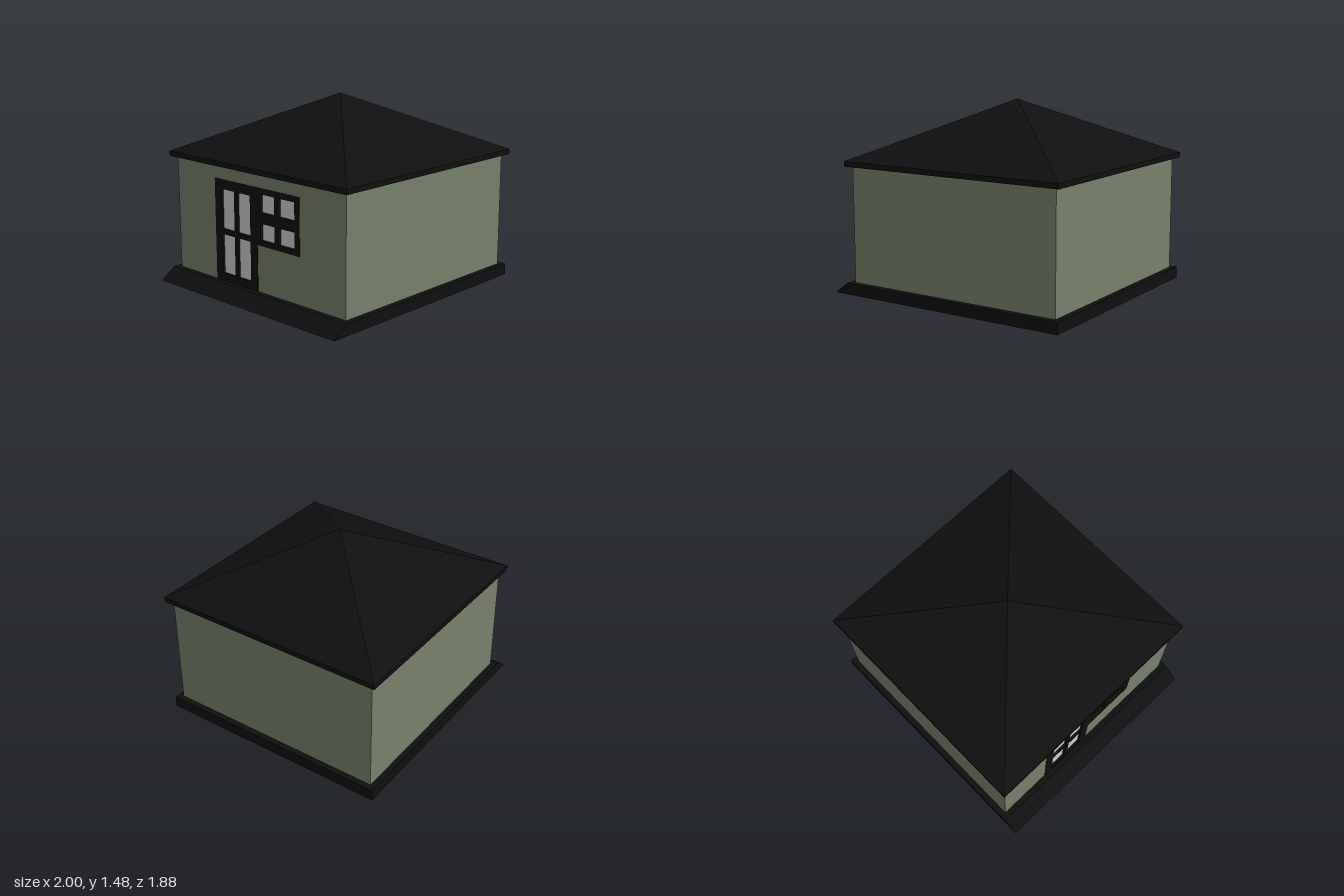
import * as THREE from 'three';

const mat = (color) => new THREE.MeshStandardMaterial({ color, side: THREE.DoubleSide });
const CX = 0.06, WALL = 0.895, EAVE = 0.94; // house centre in x, half widths

// Rectangle of four corners at height y
const ring = (x0, x1, hz, y) => [[x0, y, hz], [x1, y, hz], [x1, y, -hz], [x0, y, -hz]];
const square = (half, y) => ring(CX - half, CX + half, half, y);

// Flat panels joining each ring to the next
function loft(...rings) {
  const pos = [];
  for (let k = 0; k < rings.length - 1; k++) {
    const a = rings[k], b = rings[k + 1];
    for (let i = 0; i < 4; i++) {
      const j = (i + 1) % 4;
      pos.push(...a[i], ...a[j], ...b[j], ...a[i], ...b[j], ...b[i]);
    }
  }
  const g = new THREE.BufferGeometry();
  g.setAttribute('position', new THREE.Float32BufferAttribute(pos, 3));
  g.computeVertexNormals();
  return g;
}

// Rectangle in the (z, y) plane of the entrance wall
function rect(z0, z1, y0, y1, Type = THREE.Shape) {
  const s = new Type();
  s.moveTo(z0, y0);
  s.lineTo(z1, y0);
  s.lineTo(z1, y1);
  s.lineTo(z0, y1);
  s.closePath();
  return s;
}

export function createModel() {
  const house = new THREE.Group();
  house.name = 'house';
  const green = mat(0x75816a), black = mat(0x0f0f0f), glass = mat(0xcccccc);

  const add = (name, geometry, material, parent = house) => {
    const m = new THREE.Mesh(geometry, material);
    m.name = name;
    parent.add(m);
    return m;
  };
  // Place a (z, y) shape on the entrance side at the given x
  const onEntrance = (name, geometry, material, x, parent) => {
    const m = add(name, geometry, material, parent);
    m.rotation.y = -Math.PI / 2;
    m.position.x = x;
    return m;
  };

  // Open plinth, sloping out to a ramp below the entrance
  add('plinth', loft(ring(-1, 1, EAVE, 0), square(EAVE, 0.09), square(WALL, 0.09)), black);

  // Hollow hipped roof: soffit, eave band and four slopes
  add('roof', loft(square(WALL, 0.99), square(EAVE, 0.99), square(EAVE, 1.03), square(0, 1.48)), black);

  // Three plain walls
  const walls = new THREE.Group();
  walls.name = 'walls';
  house.add(walls);
  [['frontWall', 0], ['leftWall', Math.PI / 2], ['backWall', Math.PI]].forEach(([name, turn]) => {
    const w = add(name, new THREE.PlaneGeometry(2 * WALL, 0.9), green, walls);
    w.rotation.y = turn;
    w.position.set(CX + WALL * Math.sin(turn), 0.54, WALL * Math.cos(turn));
  });

  // Entrance wall with openings
  const wallX = CX - WALL;
  const door = [-0.455, 0.01, 0.09, 0.885], win = [0.01, 0.45, 0.45, 0.885];
  const wall = rect(-WALL, WALL, 0.09, 0.99);
  const opening = new THREE.Path([
    [door[0], 0.0901], [door[1], 0.0901], [win[0], win[2]], [win[1], win[2]], [win[1], win[3]], [door[0], door[3]],
  ].map(([z, y]) => new THREE.Vector2(z, y)));
  opening.closePath();
  wall.holes.push(opening);
  onEntrance('entranceWall', new THREE.ShapeGeometry(wall), green, wallX, walls);

  // Door and window: a frame with two by two panes, and glass behind
  const unit = (name, box, columns, rows, glassX, inset) => {
    const g = new THREE.Group();
    g.name = name;
    house.add(g);
    const frame = rect(...box);
    for (const c of columns) for (const r of rows) frame.holes.push(rect(...c, ...r, THREE.Path));
    onEntrance(name + 'Frame', new THREE.ExtrudeGeometry(frame, { depth: 0.025, bevelEnabled: false }), black, wallX + 0.022, g);
    const [z0, z1, y0, y1] = box;
    const pane = rect(z0 + inset, z1 - inset, y0 + inset, y1 - inset);
    onEntrance(name + 'Glass', new THREE.ShapeGeometry(pane), glass, glassX, g);
  };
  unit('door', door, [[-0.38, -0.24], [-0.205, -0.065]], [[0.15, 0.46], [0.5, 0.81]], wallX + 0.015, 0.04);
  unit('window', win, [[0.045, 0.195], [0.235, 0.4]], [[0.49, 0.62], [0.7, 0.84]], wallX + 0.025, 0.02);

  return house;
}
